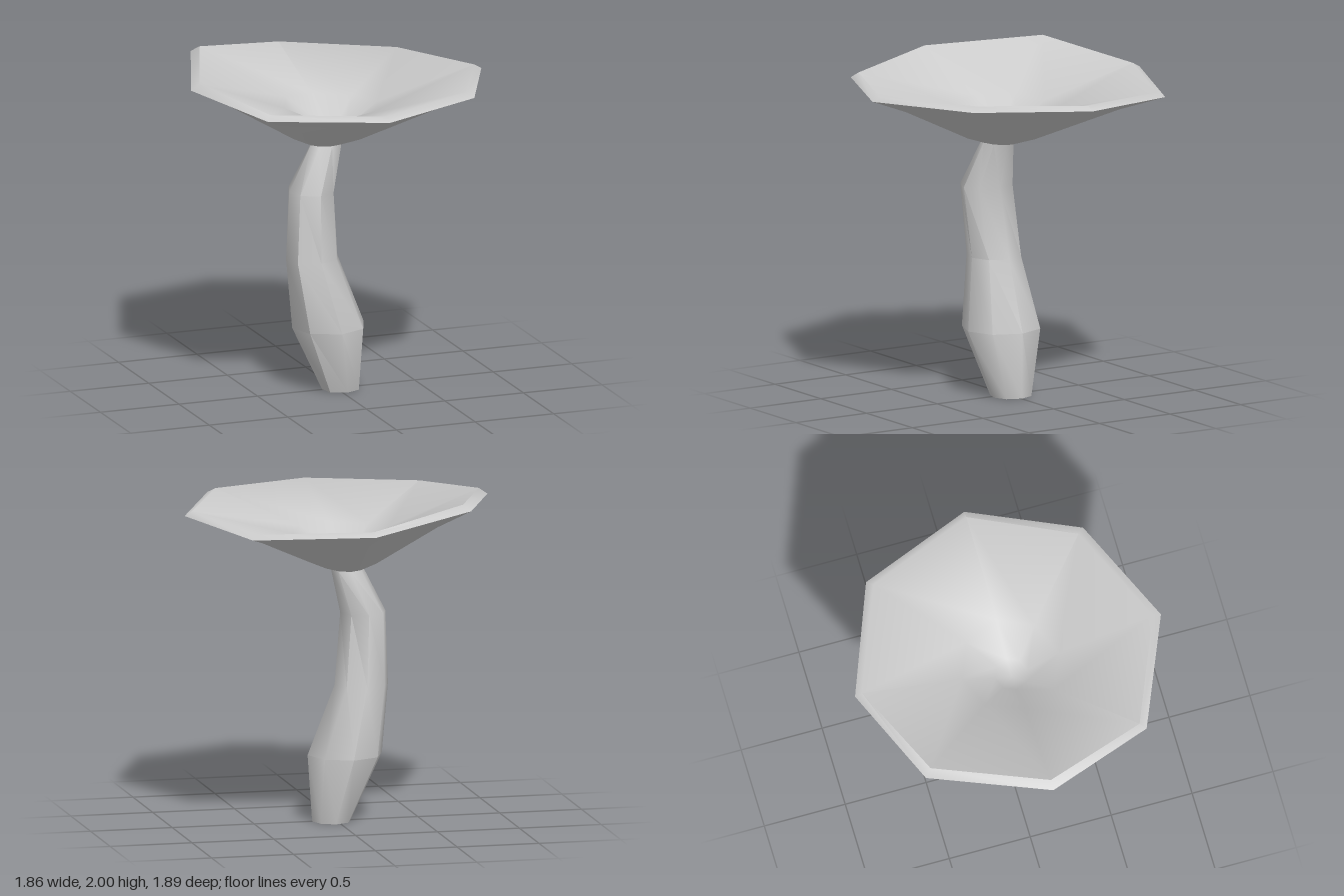
import * as THREE from 'three';
import { toCreasedNormals } from 'three/addons/utils/BufferGeometryUtils.js';

const SIDES = 8;

// Octagonal ring around (x, y, z), starting at +x and turning towards +z
function ring(x, y, z, rx, rz = rx) {
  return Array.from({ length: SIDES }, (_, i) => {
    const a = (i / SIDES) * Math.PI * 2;
    return [x + rx * Math.cos(a), y, z + rz * Math.sin(a)];
  });
}

// Ring part of the way from one ring to another, raised by dy
function between(from, to, t, dy) {
  return from.map((p, i) => {
    const q = p.map((v, k) => v + (to[i][k] - v) * t);
    return [q[0], q[1] + dy, q[2]];
  });
}

// Joins successive rings with quads; a one-point ring closes the end
function loft(rings, crease) {
  const pos = [];
  for (let r = 0; r < rings.length - 1; r++) {
    const lo = rings[r], hi = rings[r + 1];
    for (let i = 0; i < SIDES; i++) {
      const j = (i + 1) % SIDES;
      const c = hi[j % hi.length], d = hi[i % hi.length];
      if (hi.length > 1) pos.push(...lo[i], ...d, ...c);
      pos.push(...lo[i], ...c, ...lo[j]);
    }
  }
  const geo = new THREE.BufferGeometry();
  geo.setAttribute('position', new THREE.Float32BufferAttribute(pos, 3));
  return toCreasedNormals(geo, crease);
}

export function createModel() {
  const group = new THREE.Group();
  group.name = 'mushroom';
  const material = new THREE.MeshStandardMaterial({ color: 0xcccccc, side: THREE.DoubleSide });
  const add = (name, geo) => {
    const mesh = new THREE.Mesh(geo, material);
    mesh.name = name;
    group.add(mesh);
  };

  // Bent, bulging stem, open at the foot, fuller at its front right corner
  const collar = ring(-0.073, 1.52, 0.027, 0.098);
  for (const p of collar) p[1] += 0.1 * (p[2] - 0.027);
  const stemRings = [
    ring(0.03, 0, -0.005, 0.117, 0.125),
    ring(-0.055, 0.4, 0.007, 0.227, 0.238),
    ring(-0.153, 0.82, -0.005, 0.163, 0.16),
    ring(-0.172, 1.25, 0.035, 0.138, 0.165),
  ];
  for (const r of stemRings) r[3][0] -= 0.016;
  add('stem', loft([...stemRings, collar], 0.84));

  // Uneven funnel cap: underside, bevelled rim, trumpet-shaped hollow
  const outerRim = [
    [0.925, 1.88, 0], [0.63, 1.893, 0.65], [-0.02, 1.88, 0.945], [-0.69, 1.88, 0.665],
    [-0.93, 1.93, 0.02], [-0.66, 1.965, -0.69], [-0.02, 1.88, -0.945], [0.67, 1.845, -0.68],
  ];
  const innerRim = [
    [0.88, 1.907, 0], [0.59, 1.922, 0.61], [-0.02, 1.906, 0.895], [-0.66, 1.91, 0.63],
    [-0.877, 1.967, 0.02], [-0.62, 2, -0.65], [-0.02, 1.906, -0.9], [0.635, 1.872, -0.645],
  ];
  const pit = ring(-0.045, 1.61, 0.015, 0.1);
  add('cap', loft([
    collar,
    between(collar, outerRim, 0.14, -0.01),
    between(collar, outerRim, 0.7, 0.012),
    outerRim,
    innerRim,
    between(innerRim, pit, 0.75, 0.06),
    pit,
    [[-0.045, 1.58, 0.015]],
  ], 0.85));

  return group;
}
